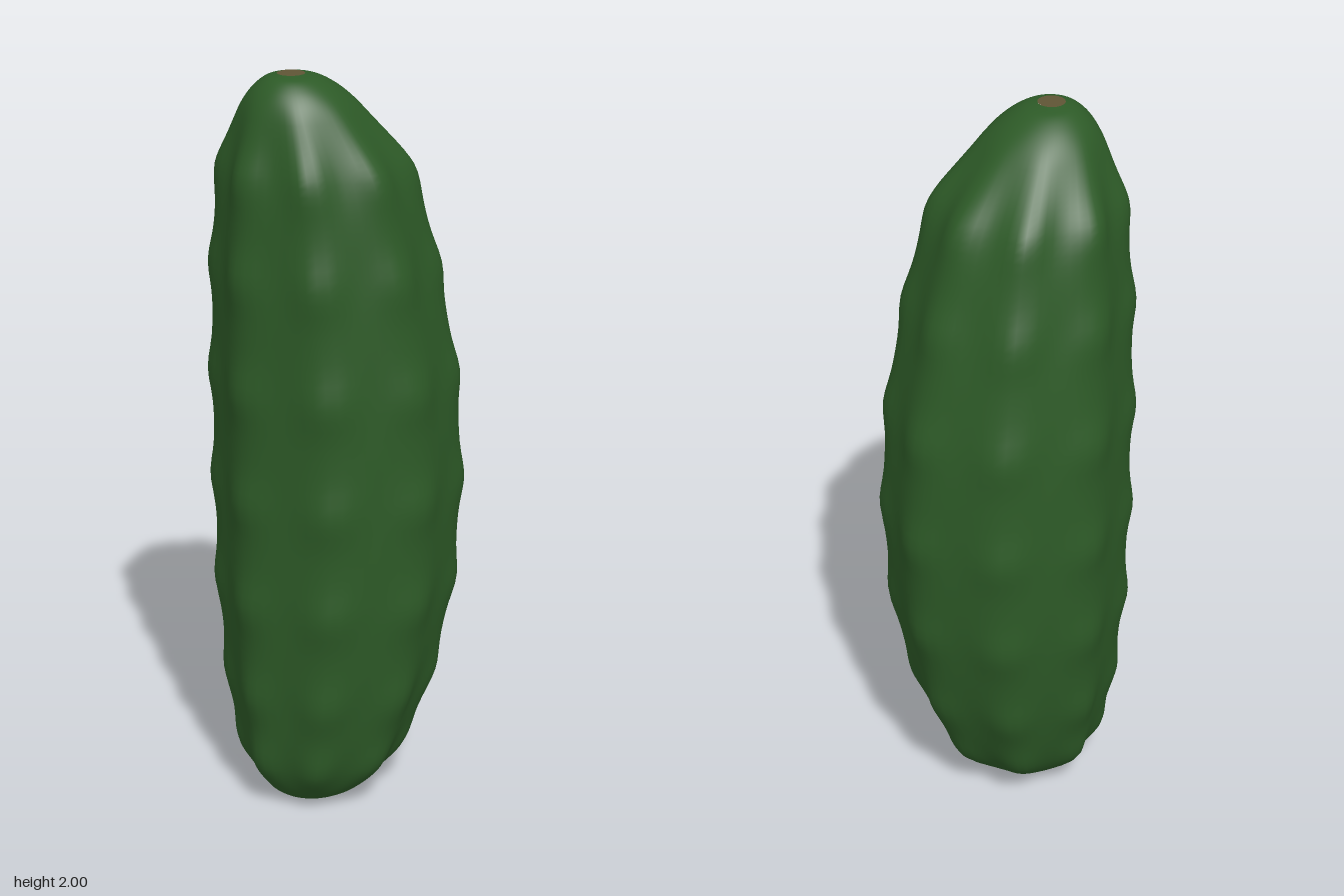
import * as THREE from 'three';
import { mergeVertices } from 'three/addons/utils/BufferGeometryUtils.js';

const skin = new THREE.MeshStandardMaterial({ color: 0x2d5a27 });
skin.name = 'dark green skin';
const cut = new THREE.MeshStandardMaterial({ color: 0x5f5535 });
cut.name = 'brown end scar';

// Bent spine from bottom to top: [centre x, height, radius over the bumps]
const spine = new THREE.CatmullRomCurve3([
  [-0.102, 0, 0.035], [-0.095, 0.012, 0.09], [-0.08, 0.045, 0.15], [-0.06, 0.13, 0.226],
  [-0.028, 0.34, 0.29], [-0.006, 0.62, 0.329], [0, 0.91, 0.339], [-0.012, 1.2, 0.331],
  [-0.043, 1.5, 0.301], [-0.077, 1.76, 0.252], [-0.118, 1.9, 0.168], [-0.136, 1.958, 0.115],
  [-0.147, 1.99, 0.07], [-0.153, 2, 0.035],
].map((p) => new THREE.Vector3(...p)));

// Heights of the rows of bumps, eight bumps in each row
const rows = [0.13, 0.34, 0.61, 0.9, 1.2, 1.5, 1.76];

function bodyGeometry() {
  const geo = new THREE.CylinderGeometry(1, 1, 1, 64, 130, true);
  geo.deleteAttribute('uv');
  geo.deleteAttribute('normal');
  const pos = geo.attributes.position;
  for (let i = 0; i < pos.count; i++) {
    const angle = Math.atan2(pos.getX(i), pos.getZ(i));
    const s = spine.getPoint(THREE.MathUtils.clamp(pos.getY(i) + 0.5, 0, 1));
    // Soft ridges around the body, swelling into bumps at each row
    const ridge = Math.pow(0.5 + 0.5 * Math.cos(8 * angle), 1.2);
    const bump = rows.reduce((sum, y) => sum + Math.exp(-(((s.y - y) / 0.07) ** 2)), 0);
    const fade = THREE.MathUtils.smoothstep(s.z, 0.1, 0.26);
    const r = s.z - 0.028 * fade * (1 - ridge * (0.5 + 0.5 * Math.min(bump, 1)));
    pos.setXYZ(i, s.x + r * Math.sin(angle), s.y, 0.98 * r * Math.cos(angle));
  }
  const smooth = mergeVertices(geo, 1e-5);
  smooth.computeVertexNormals();
  return smooth;
}

export function createModel() {
  const group = new THREE.Group();
  group.name = 'cucumber';

  const body = new THREE.Mesh(bodyGeometry(), skin);
  body.name = 'body';
  group.add(body);

  // Round scars closing both ends
  for (const [name, t, turn] of [['stemEnd', 1, -1], ['blossomEnd', 0, 1]]) {
    const p = spine.getPoint(t);
    const end = new THREE.Mesh(new THREE.CircleGeometry(p.z, 32), cut);
    end.name = name;
    end.rotation.x = turn * Math.PI / 2;
    end.position.set(p.x, p.y, 0);
    group.add(end);
  }
  return group;
}
